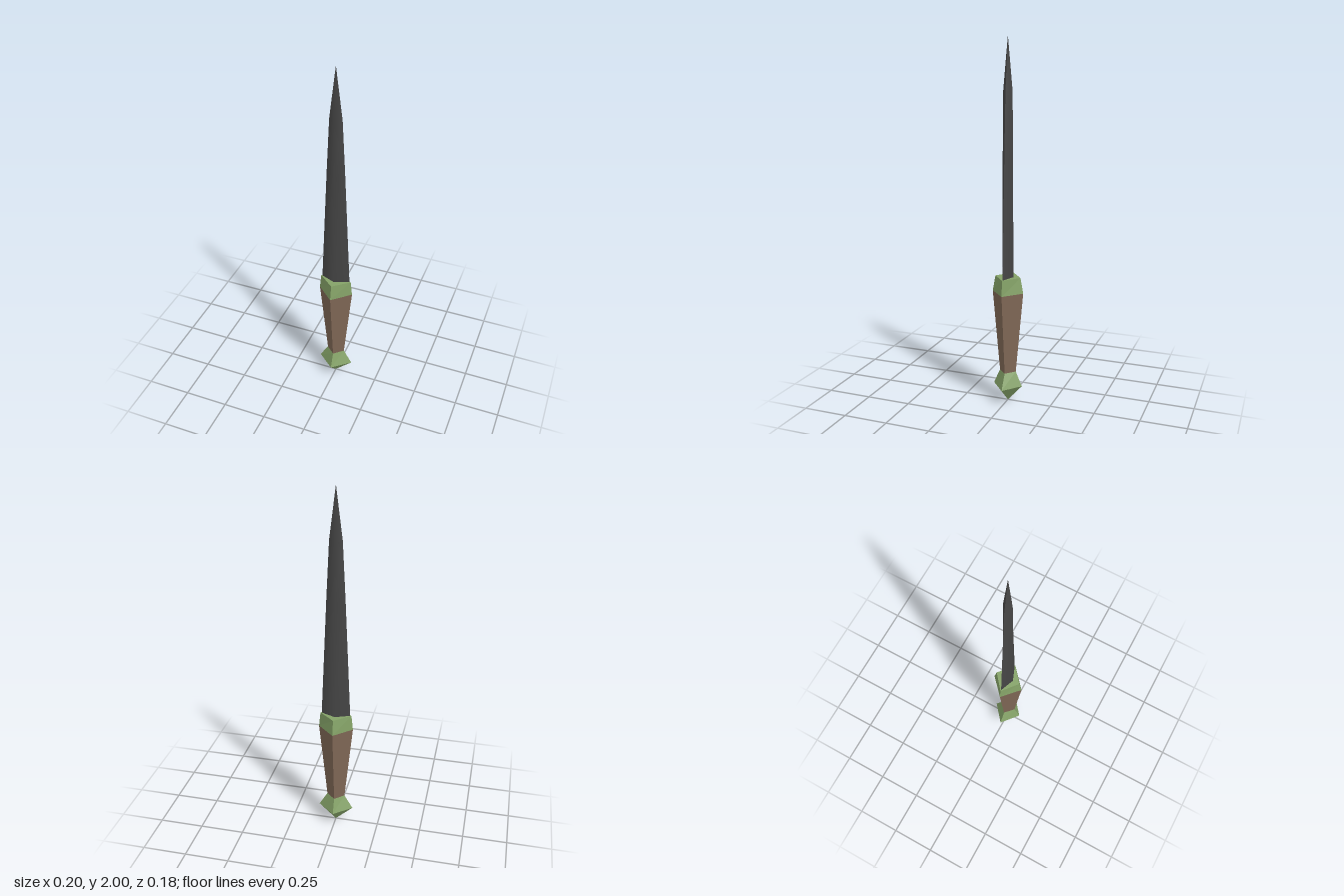
import * as THREE from 'three';
import { toCreasedNormals } from 'three/addons/utils/BufferGeometryUtils.js';

const material = (name, color) => {
  const m = new THREE.MeshStandardMaterial({ color });
  m.name = name;
  return m;
};

// Lofts four-sided diamond sections, each [y, half width x, half depth z], from bottom to top.
function diamondLoft(sections) {
  const rings = sections.map(([y, x, z]) => [[x, y, 0], [0, y, z], [-x, y, 0], [0, y, -z]]);
  const points = [];
  for (let i = 0; i < rings.length - 1; i++) {
    const low = rings[i], high = rings[i + 1];
    for (let k = 0; k < 4; k++) {
      const n = (k + 1) % 4;
      if (sections[i][1] > 0) points.push(low[k], high[k], low[n]);
      if (sections[i + 1][1] > 0) points.push(low[n], high[k], high[n]);
    }
  }
  // Flat caps where an end is not a point
  const b = rings[0], t = rings[rings.length - 1];
  if (sections[0][1] > 0) points.push(b[0], b[1], b[2], b[0], b[2], b[3]);
  if (sections[sections.length - 1][1] > 0) points.push(t[0], t[2], t[1], t[0], t[3], t[2]);
  const geometry = new THREE.BufferGeometry();
  geometry.setAttribute('position', new THREE.Float32BufferAttribute(points.flat(), 3));
  geometry.computeVertexNormals();
  return geometry;
}

export function createModel() {
  const model = new THREE.Group();
  model.name = 'dagger';
  const green = material('greenFitting', 0x84a267);
  const brown = material('brownGrip', 0x806856);
  const steel = material('darkSteel', 0x464646);
  green.flatShading = brown.flatShading = true;

  const add = (name, geometry, mat) => {
    const mesh = new THREE.Mesh(geometry, mat);
    mesh.name = name;
    model.add(mesh);
  };

  // Pointed pommel, tapering grip and collar guard
  add('pommel', diamondLoft([[0, 0, 0], [0.092, 0.099, 0.083], [0.175, 0.051, 0.047]]), green);
  add('grip', diamondLoft([[0.175, 0.051, 0.047], [0.633, 0.097, 0.089]]), brown);
  add('guard', diamondLoft([[0.633, 0.097, 0.089], [0.72, 0.088, 0.073]]), green);

  // Blade with softened centre ridges and sharp cutting edges
  const blade = diamondLoft([
    [0.715, 0.081, 0.032], [1.4, 0.051, 0.029], [1.72, 0.035, 0.026], [2, 0, 0],
  ]);
  add('blade', toCreasedNormals(blade, 1.4), steel);
  return model;
}
